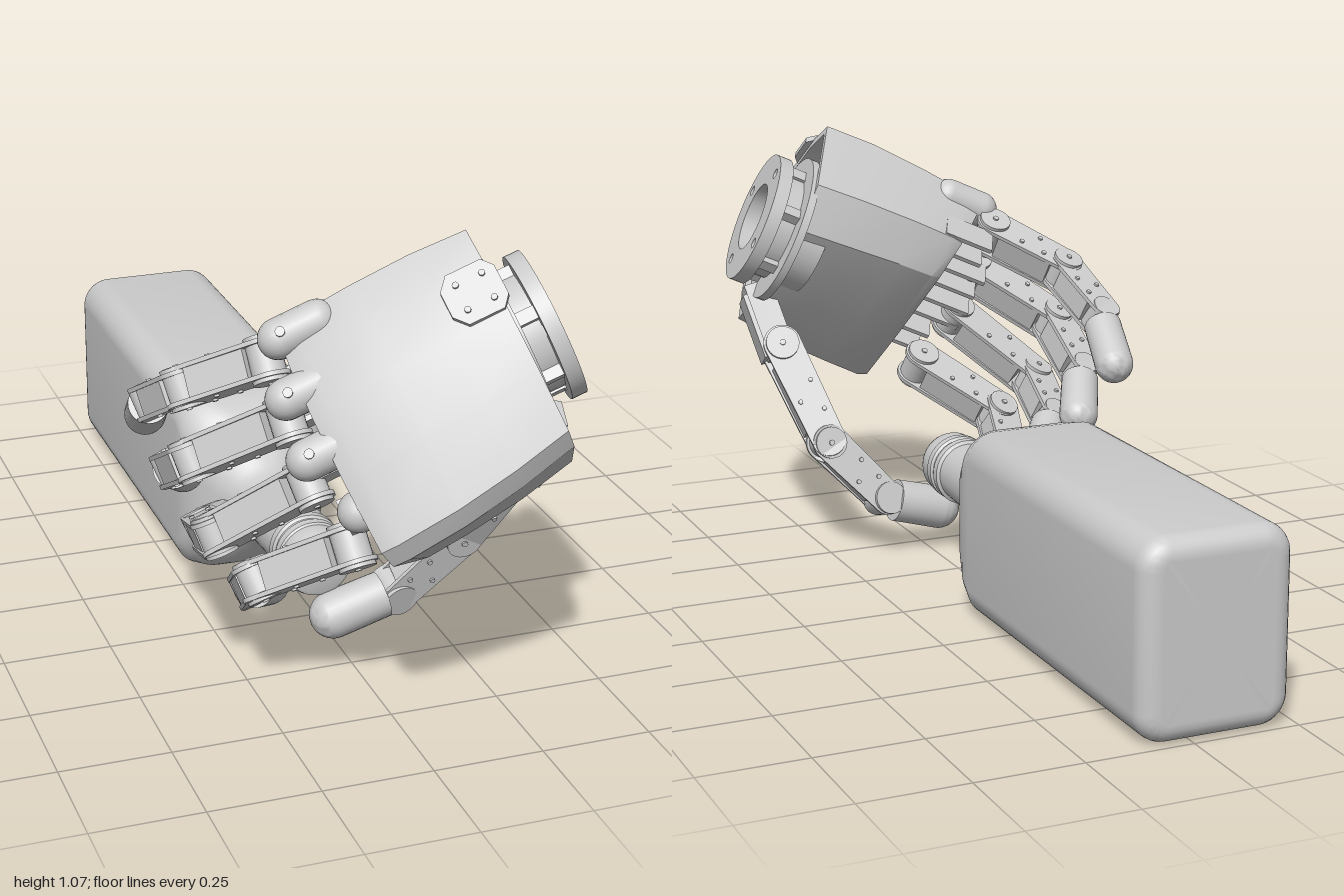
import * as THREE from 'three';
import { toCreasedNormals } from 'three/addons/utils/BufferGeometryUtils.js';

const mat = new THREE.MeshStandardMaterial({ color: 0xcccccc, side: THREE.DoubleSide });
const V = (x, y, z) => new THREE.Vector3(x, y, z);

function add(parent, name, geo, x = 0, y = 0, z = 0) {
  const m = new THREE.Mesh(geo, mat);
  m.name = name;
  m.position.set(x, y, z);
  parent.add(m);
  return m;
}

// Group whose local x follows dir and local z follows side
function frame(parent, name, origin, dir, side) {
  const x = dir.clone().normalize();
  const z = side.clone().addScaledVector(x, -side.dot(x)).normalize();
  const y = z.clone().cross(x);
  const g = new THREE.Group();
  g.name = name;
  g.quaternion.setFromRotationMatrix(new THREE.Matrix4().makeBasis(x, y, z));
  g.position.copy(origin);
  parent.add(g);
  return g;
}

// Closed skin over rings of equal point count, ends capped
function loft(rings, crease) {
  const n = rings[0].length, pos = [], idx = [];
  rings.forEach(r => r.forEach(p => pos.push(p.x, p.y, p.z)));
  for (let i = 0; i < rings.length - 1; i++) {
    for (let j = 0; j < n; j++) {
      const a = i * n + j, b = i * n + (j + 1) % n;
      idx.push(a, b, a + n, b, b + n, a + n);
    }
  }
  [0, rings.length - 1].forEach((r, end) => {
    const c = V(0, 0, 0);
    rings[r].forEach(p => c.addScaledVector(p, 1 / n));
    const ci = pos.length / 3;
    pos.push(c.x, c.y, c.z);
    for (let j = 0; j < n; j++) {
      const a = r * n + j, b = r * n + (j + 1) % n;
      idx.push(ci, end ? a : b, end ? b : a);
    }
  });
  const g = new THREE.BufferGeometry();
  g.setAttribute('position', new THREE.Float32BufferAttribute(pos, 3));
  g.setIndex(idx);
  return toCreasedNormals(g, crease);
}

// Rounded rectangle ring at depth z
function roundRing(hw, hh, r, z) {
  const out = [];
  for (let c = 0; c < 4; c++) {
    const sx = c === 0 || c === 3 ? 1 : -1, sy = c < 2 ? 1 : -1;
    for (let k = 0; k <= 10; k++) {
      const t = (c + k / 10) * Math.PI / 2;
      out.push(V(sx * (hw - r) + r * Math.cos(t), sy * (hh - r) + r * Math.sin(t), z));
    }
  }
  return out;
}

function buildBottle(root) {
  // flat base, then its rounded edge
  const rings = [roundRing(0.13, 0.175, 0.02, -1)];
  for (let k = 0; k <= 6; k++) {
    const t = k / 6 * Math.PI / 2, inset = 0.045 * (1 - Math.sin(t));
    rings.push(roundRing(0.18 - inset, 0.225 - inset, 0.07 - inset, -1 + 0.045 * (1 - Math.cos(t))));
  }
  // shoulder, [z, half width, half height, corner radius]
  [[-0.1, 0.18, 0.225, 0.07], [-0.06, 0.177, 0.217, 0.09], [-0.02, 0.166, 0.197, 0.11],
    [0.02, 0.146, 0.165, 0.12], [0.05, 0.12, 0.13, 0.11], [0.075, 0.1, 0.104, 0.095]]
    .forEach(([z, w, h, r]) => rings.push(roundRing(w, h, r, z)));
  // neck, collars and lip, [z, radius]
  [[0.1, 0.089], [0.14, 0.084], [0.32, 0.075], [0.325, 0.083], [0.345, 0.083], [0.35, 0.077], [0.36, 0.077],
    [0.365, 0.083], [0.385, 0.083], [0.39, 0.079], [0.425, 0.079], [0.436, 0.075], [0.44, 0.066]]
    .forEach(([z, r]) => rings.push(roundRing(r, r, r * 0.985, z)));
  add(root, 'bottle', loft(rings, 0.6), -0.055, 0.227, 0);
}

function cyl(r, h, axis, seg = 24) {
  const g = new THREE.CylinderGeometry(r, r, h, seg);
  return axis === 'x' ? g.rotateZ(-Math.PI / 2) : axis === 'z' ? g.rotateX(Math.PI / 2) : g;
}

// Bar with round ends from x = 0 to x = len
function stadium(len, r, depth) {
  const s = new THREE.Shape();
  s.absarc(0, 0, r, Math.PI / 2, Math.PI * 1.5);
  s.absarc(len, 0, r * 0.9, -Math.PI / 2, Math.PI / 2);
  return new THREE.ExtrudeGeometry(s, { depth, bevelEnabled: false, curveSegments: 14 }).translate(0, 0, -depth / 2);
}

// One finger link: side plates, core, hinge caps and screws
function link(parent, name, p, q, side, r, w) {
  const d = q.clone().sub(p), len = d.length();
  const g = frame(parent, name, p, d, side);
  add(g, 'linkCore', new THREE.BoxGeometry(len * 0.7, r * 1.7, w * 0.8), len * 0.5);
  add(g, 'hingePin', cyl(r * 0.85, w * 0.9, 'z'));
  for (const s of [-1, 1]) {
    add(g, 'sidePlate', stadium(len, r, 0.01), 0, 0, s * w * 0.44);
    add(g, 'hingeCap', cyl(r * 0.88, 0.014, 'z'), 0, 0, s * w * 0.52);
    add(g, 'hingeScrew', cyl(r * 0.16, 0.006, 'z', 10), 0, 0, s * (w * 0.52 + 0.008));
    for (const t of [0.42, 0.58, 0.72]) {
      add(g, 'plateScrew', cyl(0.006, 0.008, 'z', 8), len * t, r * 0.5 * (t === 0.58 ? -1 : 1), s * (w * 0.44 + 0.006));
    }
  }
}

// Smooth padded fingertip, flat at the joint and round at the end
function fingertip(parent, p, end, r, side) {
  const d = end.clone().sub(p), len = d.length();
  const prof = [new THREE.Vector2(0, len * 0.14), new THREE.Vector2(r * 0.97, len * 0.14)];
  for (let k = 0; k <= 10; k++) {
    const t = k / 10 * Math.PI / 2;
    prof.push(new THREE.Vector2(r * Math.cos(t), len - r + r * Math.sin(t)));
  }
  const g = frame(parent, 'fingertip', p, d, side);
  add(g, 'tipPad', toCreasedNormals(new THREE.LatheGeometry(prof, 28).rotateZ(-Math.PI / 2), 0.6));
  add(g, 'tipHinge', cyl(r * 0.75, r * 1.6, 'z'));
}

function digit(root, name, pts, side, r, w, tipR) {
  const g = new THREE.Group();
  g.name = name;
  root.add(g);
  const p = pts.map(a => V(...a)), last = p.length - 1;
  for (let i = 0; i < last - 1; i++) link(g, 'link', p[i], p[i + 1], side, r * (1 - i * 0.05), w - i * 0.008);
  fingertip(g, p[last - 1], p[last], tipR, side);
}

function buildPalm(hand) {
  // palm shell cross-section as [side, dorsal height]
  const outline = [[-0.22, 0.185], [-0.12, 0.222], [0, 0.238], [0.13, 0.232], [0.265, 0.2], [0.29, 0.15],
    [0.275, -0.09], [0.1, -0.12], [-0.12, -0.105], [-0.21, -0.02]];
  // [along, top, bottom, outer side, thumb side scale, lean]; the last rings turn inward to a recess
  const rings = [[-0.5, 0.72, 0.7, 0.95, 1.19, 0.2], [-0.47, 0.8, 0.8, 0.98, 1.2, 0.15], [-0.36, 0.9, 0.85, 1, 1.17, 0],
    [-0.22, 0.98, 0.95, 1, 1.1, 0], [-0.09, 1, 1, 0.97, 1, 0], [-0.09, 0.92, 0.9, 0.9, 0.93, 0], [-0.15, 0.92, 0.9, 0.9, 0.93, 0]]
    .map(([a, top, bot, outer, thumb, lean]) => outline.map(([s, n]) =>
      V(a - n * lean, n * (n > 0 ? top : bot), s * (s > 0 ? thumb : outer))));
  add(hand, 'palmShell', loft(rings, 0.45));

  // knuckle domes and the yokes below them
  [[-0.5, 0.14, -0.19], [-0.54, 0.14, -0.065], [-0.555, 0.135, 0.07], [-0.505, 0.11, 0.21]].forEach(([a, n, s]) => {
    add(hand, 'knuckleDome', new THREE.CapsuleGeometry(0.045, 0.09, 8, 20).rotateZ(Math.PI / 2), a + 0.005, n, s);
    add(hand, 'knuckleScrew', cyl(0.011, 0.012, 'y', 10), a - 0.03, n + 0.043, s);
    for (const k of [-1, 1]) add(hand, 'knuckleYoke', new THREE.BoxGeometry(0.13, 0.065, 0.012), a - 0.01, 0.02, s * 0.92 + k * 0.03);
  });

  // bolted plate on the back of the hand
  const plate = new THREE.Shape();
  plate.moveTo(-0.065, -0.03).lineTo(-0.04, -0.06).lineTo(0.04, -0.06).lineTo(0.06, -0.035)
    .lineTo(0.06, 0.035).lineTo(0.04, 0.06).lineTo(-0.04, 0.06).lineTo(-0.065, 0.03);
  const backPlate = new THREE.Group();
  backPlate.name = 'backPlate';
  backPlate.position.set(-0.135, 0.223, -0.07);
  backPlate.rotation.x = -0.13;
  hand.add(backPlate);
  add(backPlate, 'plate', new THREE.ExtrudeGeometry(plate, { depth: 0.016, bevelEnabled: false }).rotateX(-Math.PI / 2));
  for (const a of [-0.03, 0.03]) for (const s of [-0.03, 0.03]) {
    add(backPlate, 'plateScrew', cyl(0.007, 0.008, 'y', 10), a, 0.018, s);
  }
}

function buildWrist(hand) {
  // flange with four bolt holes and a central bore
  const ring = new THREE.Shape();
  ring.absarc(0, 0, 0.168, 0, Math.PI * 2);
  const hole = (x, y, r) => ring.holes.push(new THREE.Path().absarc(x, y, r, 0, Math.PI * 2, true));
  hole(0, 0, 0.088);
  for (let k = 0; k < 4; k++) {
    const t = k * Math.PI / 2 + 0.3;
    hole(0.135 * Math.cos(t), 0.135 * Math.sin(t), 0.013);
  }
  add(hand, 'wristFlange', toCreasedNormals(new THREE.ExtrudeGeometry(ring, { depth: 0.035, bevelEnabled: false, curveSegments: 40 })
    .rotateY(Math.PI / 2), 0.5), -0.035);
  // hollow collar and its floor
  const wall = [[0.088, 0], [0.088, -0.09], [0.135, -0.09], [0.135, -0.03]].map(([r, y]) => new THREE.Vector2(r, y));
  add(hand, 'wristCollar', toCreasedNormals(new THREE.LatheGeometry(wall, 40).rotateZ(-Math.PI / 2), 0.5));
  add(hand, 'collarFloor', cyl(0.09, 0.01, 'x', 32), -0.07);
  add(hand, 'wristDisc', cyl(0.19, 0.02, 'x', 40), -0.09);
  add(hand, 'wristCore', cyl(0.14, 0.08, 'x', 32), -0.13);
  for (let k = 0; k < 6; k++) {
    const t = k * Math.PI / 3;
    add(hand, 'floorBolt', cyl(0.007, 0.008, 'x', 10), -0.064, 0.05 * Math.cos(t), 0.05 * Math.sin(t));
    add(hand, 'collarRib', new THREE.BoxGeometry(0.06, 0.03, 0.03), -0.06, 0.135 * Math.cos(t), 0.135 * Math.sin(t));
  }
}

export function createModel() {
  const root = new THREE.Group();
  root.name = 'robotHandWithBottle';
  buildBottle(root);

  // hand frame: x to the wrist, y out of the back of the hand, z to the thumb side
  const side = V(0.217, -0.717, 0.659);
  const hand = frame(root, 'hand', V(0.375, 0.855, 0.69), V(0.9, 0.41, 0.15), side);
  buildPalm(hand);
  buildWrist(hand);

  // digits as joint positions from knuckle to tip
  digit(root, 'littleFinger', [[-0.22, 0.79, 0.55], [-0.37, 0.7, 0.43], [-0.4, 0.61, 0.27], [-0.365, 0.495, 0.095]], side, 0.045, 0.085, 0.048);
  digit(root, 'ringFinger', [[-0.2, 0.68, 0.63], [-0.37, 0.555, 0.49], [-0.365, 0.46, 0.31], [-0.28, 0.365, 0.145]], side, 0.045, 0.085, 0.048);
  digit(root, 'middleFinger', [[-0.17, 0.55, 0.68], [-0.335, 0.395, 0.54], [-0.31, 0.33, 0.37], [-0.2, 0.265, 0.21]], side, 0.045, 0.085, 0.048);
  digit(root, 'indexFinger', [[-0.09, 0.415, 0.73], [-0.255, 0.295, 0.59], [-0.225, 0.205, 0.45], [-0.12, 0.13, 0.3]], side, 0.047, 0.085, 0.05);
  const thumbSide = V(0.15, 0.35, -0.92);
  digit(root, 'thumb', [[0.325, 0.52, 0.64], [0.255, 0.295, 0.5], [0.12, 0.145, 0.45], [-0.08, 0.09, 0.45]], thumbSide, 0.048, 0.085, 0.055);
  // bracket carrying the thumb from the wrist
  const bracket = frame(root, 'thumbBracket', V(0.34, 0.58, 0.69), V(0.15, 0.75, 0.4), thumbSide);
  add(bracket, 'bracketArm', new THREE.BoxGeometry(0.2, 0.07, 0.07));
  add(bracket, 'bracketGuard', new THREE.BoxGeometry(0.17, 0.012, 0.09), -0.01, 0.042, 0);
  return root;
}
